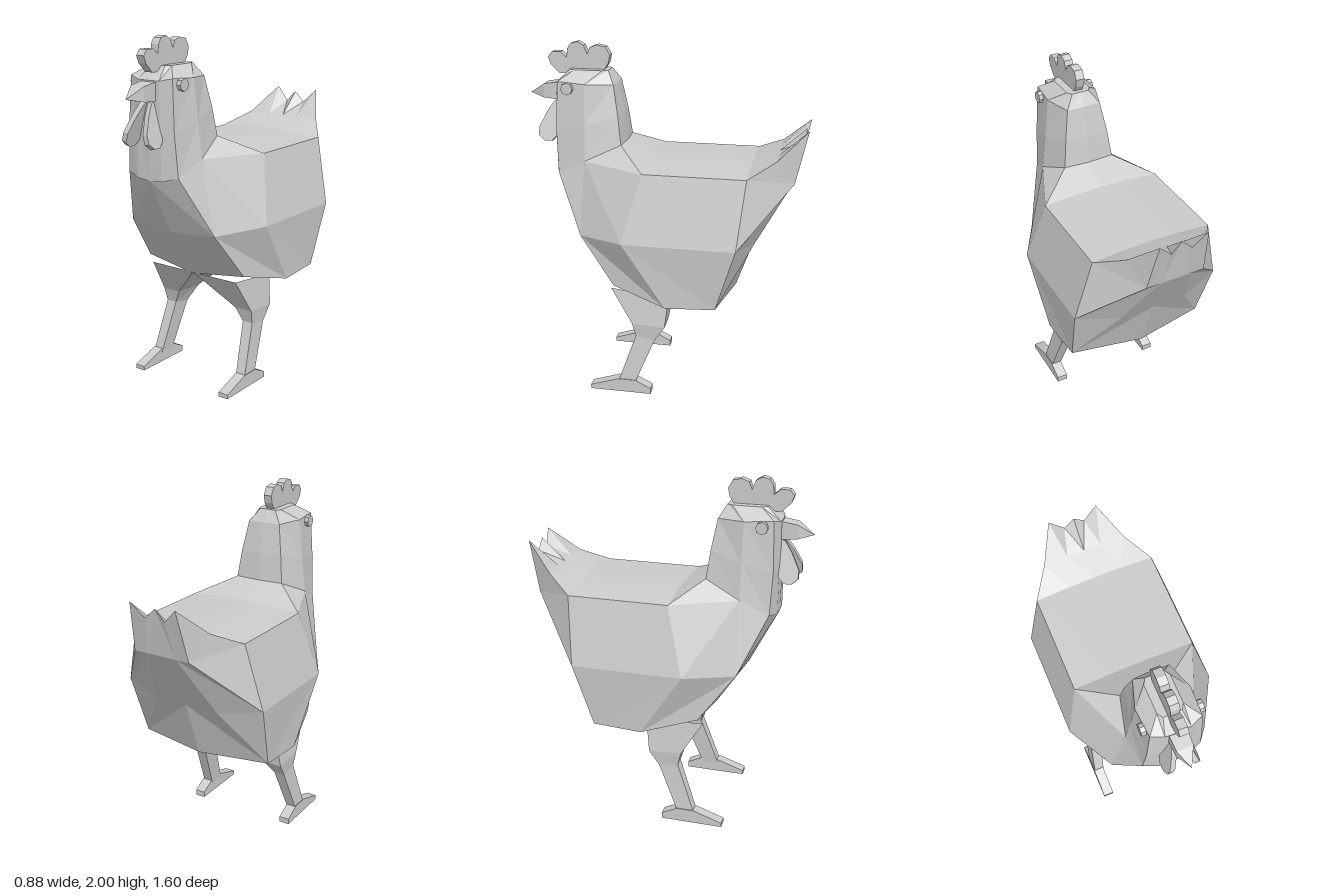
import * as THREE from 'three';

const plumage = new THREE.MeshStandardMaterial({ color: 0xcccccc });
plumage.name = 'plain grey';

const v = (p) => new THREE.Vector3(...p);

// Completes a ring from its +x half, which starts and ends on the centre line
const mirrorRing = (half) => [
  ...half,
  ...half.slice(1, -1).reverse().map(([x, y, z]) => [-x, y, z]),
];

// Flat-faced skin over rings; each ring runs clockwise seen from the last ring
function loft(rings, cap = false) {
  const out = [];
  const tri = (a, b, c) => {
    const area = v(b).sub(v(a)).cross(v(c).sub(v(a))).length();
    if (area > 1e-7) out.push(...a, ...b, ...c);
  };
  for (let i = 0; i + 1 < rings.length; i++) {
    const n = rings[i].length;
    for (let j = 0; j < n; j++) {
      const k = (j + 1) % n;
      const a = rings[i][j], b = rings[i][k], c = rings[i + 1][k], d = rings[i + 1][j];
      if (j < n / 2) { tri(a, d, b); tri(b, d, c); }
      else { tri(a, d, c); tri(a, c, b); }
    }
  }
  if (cap) {
    const r = rings[rings.length - 1];
    for (let j = 1; j + 1 < r.length; j++) tri(r[0], r[j + 1], r[j]);
  }
  const g = new THREE.BufferGeometry();
  g.setAttribute('position', new THREE.Float32BufferAttribute(out, 3));
  g.computeVertexNormals();
  return g;
}

// Upright plate from a (z, y) outline, centred on x = 0
function sidePlate(outline, thickness) {
  const shape = new THREE.Shape(outline.map(([z, y]) => new THREE.Vector2(z, y)));
  return new THREE.ExtrudeGeometry(shape, { depth: thickness, bevelEnabled: false })
    .rotateY(-Math.PI / 2)
    .translate(thickness / 2, 0, 0);
}

export function createModel() {
  const model = new THREE.Group();
  model.name = 'hen';
  const add = (name, geometry) => {
    const mesh = new THREE.Mesh(geometry, plumage);
    mesh.name = name;
    model.add(mesh);
    return mesh;
  };

  // Body and tail: rings from tail tip to breast (spine, back, shoulder, side, hip, belly)
  const tip = [[0, 1.56, -0.78], [0.06, 1.5, -0.78], [0.14, 1.58, -0.8]];
  const breast = [0, 1.25, 0.63];
  add('body', loft([
    [...tip, tip[2], tip[1], tip[0]],
    [[0, 1.43, -0.64], [0.1, 1.43, -0.64], [0.24, 1.43, -0.64], [0.17, 1.29, -0.735], [0.09, 1.29, -0.735], [0, 1.29, -0.735]],
    [[0, 1.37, -0.49], [0.15, 1.365, -0.49], [0.35, 1.35, -0.49], [0.44, 0.97, -0.45], [0.2, 0.94, -0.53], [0, 0.94, -0.53]],
    [[0, 1.37, -0.49], [0.15, 1.365, -0.49], [0.35, 1.35, -0.49], [0.44, 0.97, -0.45], [0.41, 0.61, -0.34], [0, 0.6, -0.41]],
    [[0, 1.37, 0.08], [0.15, 1.365, 0.08], [0.35, 1.35, 0.08], [0.44, 0.97, 0.18], [0.42, 0.6, -0.06], [0, 0.6, -0.06]],
    [[0, 1.45, 0.23], [0.15, 1.45, 0.24], [0.2, 1.36, 0.44], [0.29, 0.95, 0.45], [0.34, 0.68, 0.25], [0, 0.64, 0.28]],
    [[0, 1.3, 0.5], [0.1, 1.3, 0.55], [0.17, 1.28, 0.6], [0.29, 0.95, 0.45], [0.34, 0.68, 0.25], [0, 0.64, 0.28]],
    [breast, breast, breast, [0, 0.93, 0.47], [0, 0.64, 0.28], [0, 0.64, 0.28]],
  ].map(mirrorRing)));

  // Neck and head: rings upward, each from back to front
  add('neckAndHead', loft([
    [[0, 1.45, 0.23], [0.15, 1.45, 0.24], [0.2, 1.36, 0.44], [0.17, 1.28, 0.6], [0.08, 1.255, 0.63], breast],
    [[0, 1.61, 0.25], [0.13, 1.61, 0.26], [0.175, 1.56, 0.44], [0.155, 1.52, 0.61], [0.075, 1.52, 0.63], [0, 1.52, 0.635]],
    [[0, 1.78, 0.285], [0.1, 1.78, 0.29], [0.15, 1.785, 0.44], [0.14, 1.795, 0.6], [0.07, 1.78, 0.625], [0, 1.78, 0.63]],
    [[0, 1.85, 0.33], [0.05, 1.85, 0.33], [0.07, 1.85, 0.36], [0.07, 1.85, 0.52], [0.05, 1.85, 0.55], [0, 1.85, 0.55]],
  ].map(mirrorRing), true));

  // Beak: a tapered box ending in a point
  const beakRing = (w, top, bottom, z) => [[-w, top, z], [w, top, z], [w, bottom, z], [-w, bottom, z]];
  add('beak', loft([
    beakRing(0.05, 1.78, 1.67, 0.58),
    beakRing(0.045, 1.76, 1.68, 0.71),
    beakRing(0, 1.7, 1.7, 0.8),
  ]));

  // Three-lobed comb
  add('comb', sidePlate([
    [0.58, 1.82], [0.62, 1.82], [0.67, 1.87], [0.685, 1.91], [0.66, 1.94], [0.61, 1.94], [0.575, 1.91],
    [0.57, 1.96], [0.55, 1.99], [0.51, 2], [0.475, 1.98], [0.455, 1.93],
    [0.44, 1.97], [0.4, 1.985], [0.35, 1.975], [0.325, 1.93], [0.335, 1.885], [0.37, 1.83],
  ], 0.05));

  for (const s of [1, -1]) {
    const side = s > 0 ? 'left' : 'right';

    // Wattle hanging outward from under the beak
    const wattle = add(side + 'Wattle', sidePlate([
      [0.61, 0], [0.65, -0.02], [0.69, -0.08], [0.735, -0.17], [0.735, -0.22],
      [0.7, -0.25], [0.66, -0.25], [0.63, -0.22], [0.61, -0.17],
    ], 0.03));
    wattle.position.set(s * 0.02, 1.68, 0);
    wattle.rotation.z = s * 0.27;

    // Eye
    const eye = new THREE.CylinderGeometry(0.034, 0.034, 0.04, 8).toNonIndexed();
    eye.computeVertexNormals();
    const eyeMesh = add(side + 'Eye', eye);
    eyeMesh.rotation.z = Math.PI / 2;
    eyeMesh.position.set(s * 0.15, 1.76, 0.54);

    // Leg: shank widening into a thigh that meets its twin at the centre
    const legRing = (inner, outer, yBack, yFront, back, front) => {
      const [a, b] = s > 0 ? [inner, outer] : [-outer, -inner];
      return [[a, yBack, back], [b, yBack, back], [b, yFront, front], [a, yFront, front]];
    };
    add(side + 'Leg', loft([
      legRing(0.277, 0.337, 0.06, 0.06, 0.135, 0.235),
      legRing(0.25, 0.315, 0.34, 0.36, 0.02, 0.13),
      legRing(0.21, 0.322, 0.43, 0.44, -0.04, 0.15),
      legRing(0, 0.3, 0.605, 0.645, -0.06, 0.275),
    ]));

    // Foot
    const foot = add(side + 'Foot', sidePlate([
      [0.04, 0], [0.4, 0], [0.4, 0.025], [0.235, 0.08], [0.13, 0.08], [0.04, 0.035],
    ], 0.062));
    foot.position.x = s * 0.309;
  }
  return model;
}
